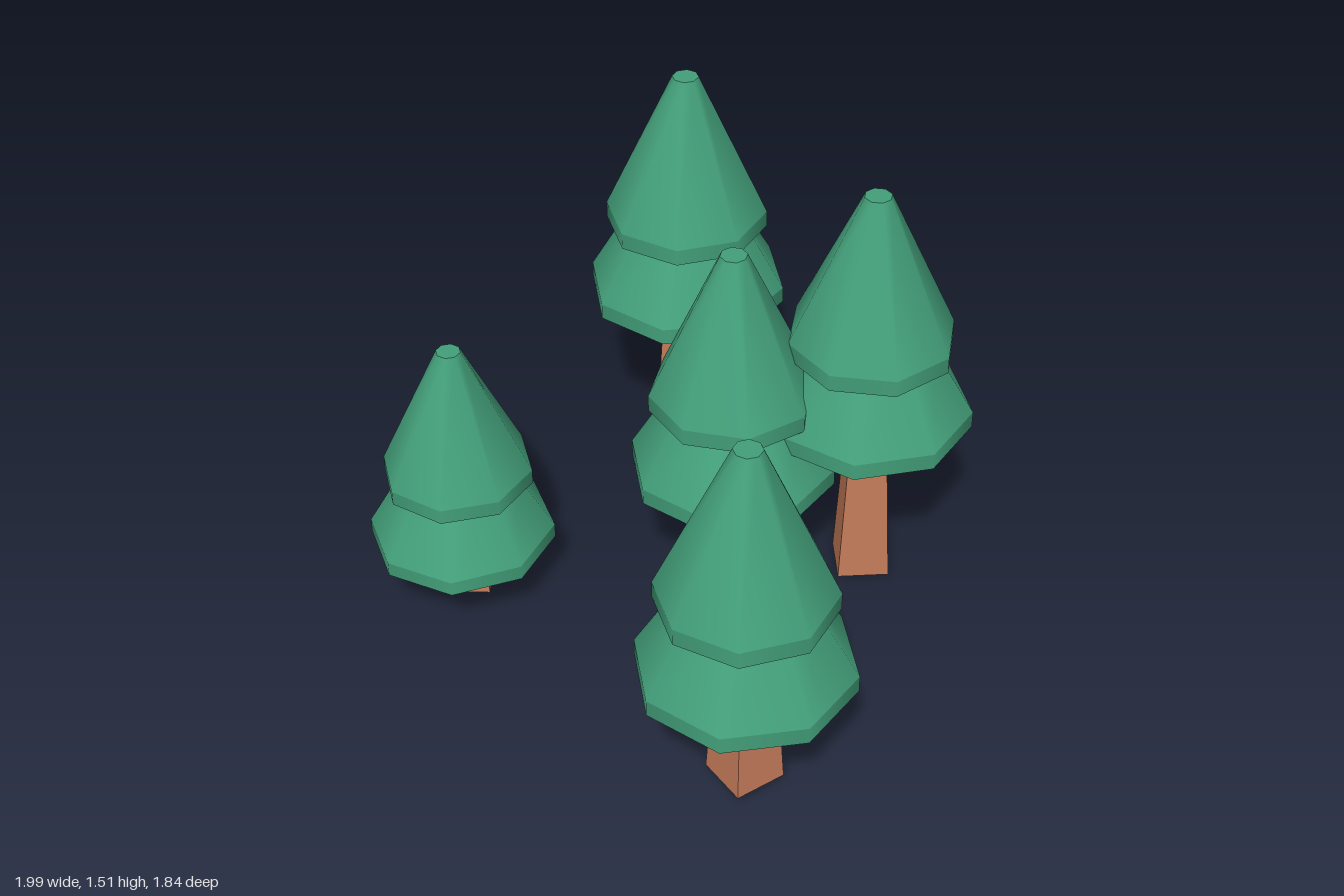
import * as THREE from 'three';

const green = new THREE.MeshStandardMaterial({ color: 0x439f7a });
green.name = 'foliage green';
const brown = new THREE.MeshStandardMaterial({ color: 0xc47b5a });
brown.name = 'trunk brown';

const rad = THREE.MathUtils.degToRad;

// Tapered prism between two heights
function prism(name, material, sides, y0, y1, r0, r1, turn, openEnded = false) {
  let geometry = new THREE.CylinderGeometry(r1, r0, y1 - y0, sides, 1, openEnded);
  geometry.rotateY(rad(turn));
  if (sides === 4) {
    geometry = geometry.toNonIndexed(); // square trunks keep hard corners
    geometry.computeVertexNormals();
  }
  const mesh = new THREE.Mesh(geometry, material);
  mesh.name = name;
  mesh.position.y = (y0 + y1) / 2;
  return mesh;
}

// Foliage tier: upright rim with a closed underside, then a cone cut off at the top
function tier(name, y0, y1, r0, r1, turn, rim) {
  const group = new THREE.Group();
  group.name = name;
  group.add(
    prism(name + 'Rim', green, 8, y0, y0 + rim, r0, r0, turn),
    prism(name + 'Cone', green, 8, y0 + rim, y1, r0, r1, turn)
  );
  return group;
}

function tree(name, t) {
  const group = new THREE.Group();
  group.name = name;
  group.position.set(t.x, 0, t.z);
  const trunkTop = t.low + 0.03;
  const rim = 0.058 * t.s;
  group.add(
    prism('trunk', brown, 4, t.base, trunkTop, 0.123, 0.123 - 0.065 * (trunkTop - t.base), t.trunkTurn),
    tier('lowerTier', t.low, t.high + 0.02, 0.347 * t.s, 0.205 * t.s, t.lowTurn, rim),
    tier('upperTier', t.high, t.top, 0.28 * t.s, 0.045 * t.s, t.highTurn, rim)
  );
  return group;
}

export function createModel() {
  const model = new THREE.Group();
  model.name = 'pineGrove';
  // Position, heights, scale of the foliage and turn of each part in degrees
  const trees = {
    backRightTree: { x: -0.663, z: -0.588, base: 0.02, low: 0.652, high: 0.938, top: 1.51, s: 1, trunkTurn: 58, lowTurn: -16, highTurn: -9 },
    backLeftTree: { x: 0.263, z: -0.468, base: 0, low: 0.635, high: 0.916, top: 1.492, s: 1, trunkTurn: 1, lowTurn: -13, highTurn: 11 },
    middleTree: { x: -0.034, z: -0.13, base: 0.022, low: 0.446, high: 0.73, top: 1.305, s: 1, trunkTurn: 32, lowTurn: -16, highTurn: 7 },
    frontLeftTree: { x: 0.66, z: 0.583, base: 0.043, low: 0.465, high: 0.747, top: 1.323, s: 1, trunkTurn: 32, lowTurn: -16, highTurn: -8 },
    frontRightTree: { x: -0.668, z: 0.527, base: 0.022, low: 0.21, high: 0.465, top: 0.976, s: 0.9, trunkTurn: -4, lowTurn: -5, highTurn: -11 }
  };
  for (const [name, t] of Object.entries(trees)) model.add(tree(name, t));
  return model;
}
